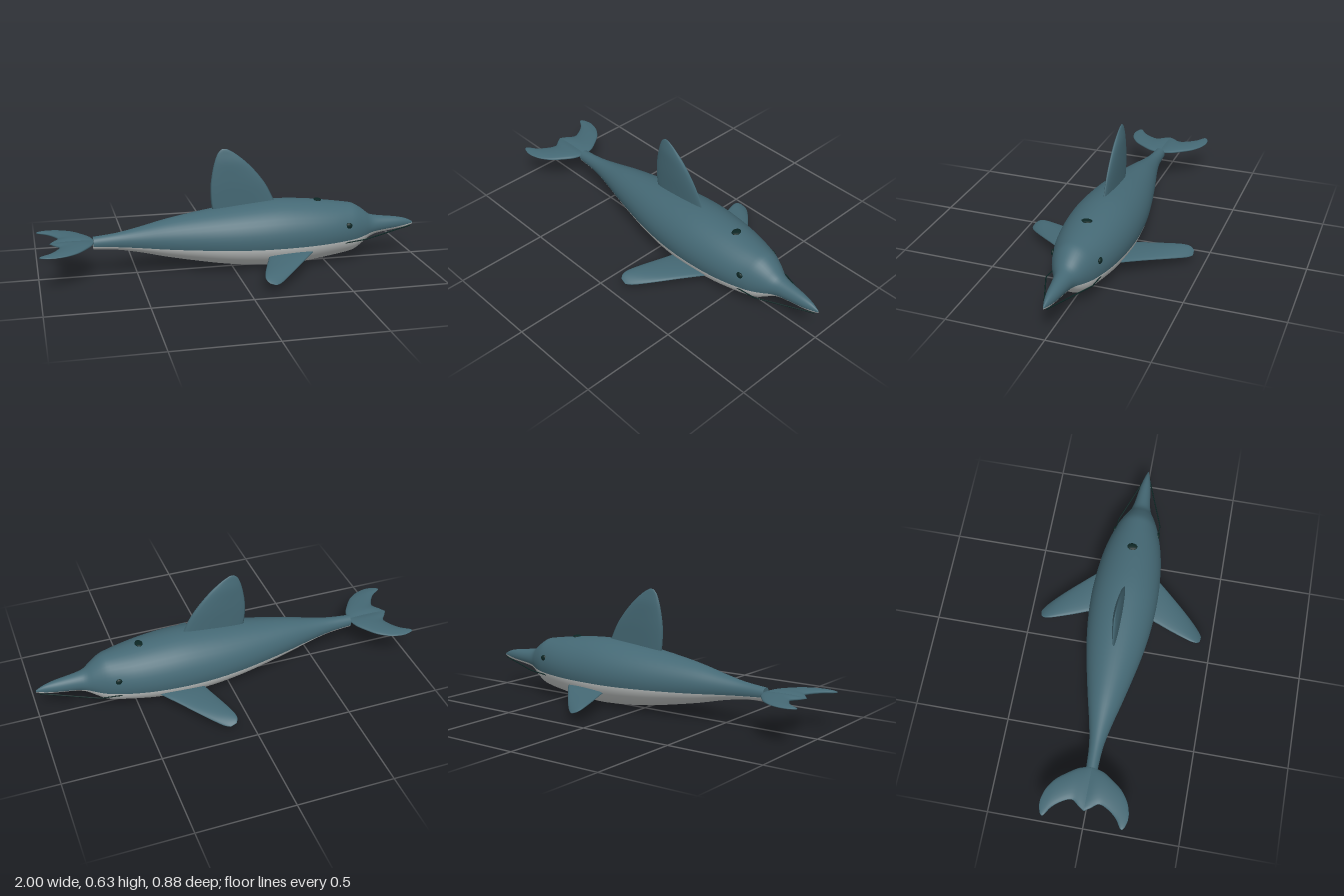
import * as THREE from 'three';

const skin = new THREE.MeshStandardMaterial({ color: 0x456975 });
skin.name = 'tealSkin';
const belly = new THREE.MeshStandardMaterial({ color: 0xc8cccb });
belly.name = 'paleBelly';
const dark = new THREE.MeshStandardMaterial({ color: 0x0c2624 });
dark.name = 'darkDetail';

// Smoothly resample rows of numbers (Catmull-Rom through every row)
function resample(rows, steps) {
  const out = [], last = rows.length - 1;
  for (let i = 0; i < last; i++) {
    const [a, b, c, d] = [rows[Math.max(i - 1, 0)], rows[i], rows[i + 1], rows[Math.min(i + 2, last)]];
    for (let s = 0; s < steps; s++) {
      const t = s / steps;
      out.push(b.map((_, k) => b[k] + 0.5 * t * (c[k] - a[k] +
        t * (2 * a[k] - 5 * b[k] + 4 * c[k] - d[k] + t * (3 * (b[k] - c[k]) + d[k] - a[k])))));
    }
  }
  out.push(rows[last]);
  return out;
}

// Skin closed rings of points; columns from `split` onward go to the second group
function loft(rings, split) {
  const n = rings[0].length, first = [], second = [];
  let volume = 0;
  const p = rings.flat();
  const tri = (a, b, c, list) => {
    list.push(a, b, c);
    volume += p[a].dot(p[b].clone().cross(p[c]));
  };
  for (let i = 0; i < rings.length - 1; i++) {
    for (let j = 0; j < n; j++) {
      const a = i * n + j, b = i * n + (j + 1) % n, list = j < split ? first : second;
      tri(a, b, b + n, list);
      tri(a, b + n, a + n, list);
    }
  }
  const index = first.concat(second);
  if (volume < 0) { // turn every face outward
    for (let i = 0; i < index.length; i += 3) [index[i], index[i + 1]] = [index[i + 1], index[i]];
  }
  const geo = new THREE.BufferGeometry().setFromPoints(p);
  geo.setIndex(index);
  geo.addGroup(0, first.length, 0);
  geo.addGroup(first.length, second.length, 1);
  geo.computeVertexNormals();
  return geo;
}

function centreRing(ring) {
  const c = new THREE.Vector3();
  ring.forEach(v => c.addScaledVector(v, 1 / ring.length));
  return ring.map(() => c.clone());
}

// Fin from rows of leading point, trailing point and half thickness
function fin(name, rows, normal) {
  const rings = resample(rows, 4).map(r => {
    const lead = new THREE.Vector3(r[0], r[1], r[2]), trail = new THREE.Vector3(r[3], r[4], r[5]);
    const mid = lead.clone().add(trail).multiplyScalar(0.5), half = lead.sub(trail).multiplyScalar(0.5);
    return Array.from({ length: 20 }, (_, k) => {
      const a = k / 20 * Math.PI * 2;
      return mid.clone().addScaledVector(half, Math.cos(a)).addScaledVector(normal, r[6] * Math.sin(a));
    });
  });
  rings.push(centreRing(rings[rings.length - 1]));
  const mesh = new THREE.Mesh(loft(rings, 20), skin);
  mesh.geometry.clearGroups();
  mesh.name = name;
  return mesh;
}

function makeBody() {
  // x, top, bottom, half width, height of the belly line
  const stations = [
    [-0.72, 0.21, 0.145, 0.03, 0.165], [-0.6, 0.223, 0.135, 0.037, 0.157],
    [-0.48, 0.247, 0.113, 0.06, 0.15], [-0.35, 0.277, 0.082, 0.092, 0.143],
    [-0.2, 0.303, 0.052, 0.126, 0.138], [-0.05, 0.324, 0.026, 0.155, 0.135],
    [0.1, 0.34, 0.009, 0.173, 0.132], [0.25, 0.348, 0.002, 0.178, 0.132],
    [0.4, 0.339, 0.011, 0.168, 0.132], [0.52, 0.324, 0.027, 0.148, 0.133],
    [0.61, 0.311, 0.039, 0.122, 0.134], [0.66, 0.3, 0.052, 0.103, 0.136],
    [0.71, 0.268, 0.085, 0.078, 0.141], [0.75, 0.237, 0.113, 0.056, 0.147],
    [0.8, 0.225, 0.13, 0.043, 0.152], [0.9, 0.212, 0.143, 0.029, 0.16],
    [0.96, 0.198, 0.152, 0.016, 0.167], [1.0, 0.178, 0.166, 0.003, 0.171],
  ];
  const n = 24;
  const rings = resample(stations, 3).map(([x, top, bottom, w, line]) => {
    const cy = (top + bottom) / 2, ry = (top - bottom) / 2;
    const phi = Math.asin(THREE.MathUtils.clamp((line - cy) / ry, -0.95, 0.95));
    return Array.from({ length: 2 * n }, (_, j) => {
      const a = j < n ? phi + j / n * (Math.PI - 2 * phi)
        : Math.PI - phi + (j - n) / n * (Math.PI + 2 * phi);
      return new THREE.Vector3(x, cy + ry * Math.sin(a), w * Math.cos(a));
    });
  });
  const tail = rings[0], nose = rings[rings.length - 1];
  rings.unshift(centreRing(tail), tail.map(v => v.clone()));
  rings.push(centreRing(nose));
  const mesh = new THREE.Mesh(loft(rings, n), [skin, belly]);
  mesh.name = 'body';
  return mesh;
}

function spot(name, position, scale) {
  const mesh = new THREE.Mesh(new THREE.SphereGeometry(1, 16, 10), dark);
  mesh.position.set(...position);
  mesh.scale.set(...scale);
  mesh.name = name;
  return mesh;
}

export function createModel() {
  const model = new THREE.Group();
  model.name = 'dolphin';
  const up = new THREE.Vector3(0, 1, 0), side = new THREE.Vector3(0, 0, 1);
  model.add(makeBody());

  // Dorsal fin: height, leading x, trailing x, half thickness
  model.add(fin('dorsalFin', [
    [0.3, 0.245, -0.1, 0.012], [0.35, 0.222, -0.11, 0.014], [0.43, 0.182, -0.113, 0.017],
    [0.5, 0.13, -0.105, 0.017], [0.56, 0.073, -0.092, 0.015], [0.605, 0.018, -0.076, 0.008],
    [0.625, -0.015, -0.06, 0.004], [0.632, -0.03, -0.05, 0.001],
  ].map(([y, a, b, t]) => [a, y, 0, b, y, 0, t]), side));

  for (const s of [1, -1]) {
    const label = s > 0 ? 'right' : 'left';
    // Flipper: leading x, y, z, trailing x, y, z, half thickness
    model.add(fin(label + 'Flipper', [
      [0.42, 0.099, 0.12, 0.17, 0.087, 0.12, 0.01], [0.37, 0.093, 0.185, 0.15, 0.084, 0.185, 0.012],
      [0.315, 0.083, 0.25, 0.122, 0.08, 0.26, 0.012], [0.255, 0.07, 0.32, 0.098, 0.077, 0.33, 0.012],
      [0.2, 0.057, 0.38, 0.082, 0.073, 0.385, 0.011], [0.155, 0.046, 0.423, 0.08, 0.066, 0.418, 0.008],
      [0.125, 0.044, 0.442, 0.092, 0.055, 0.438, 0.002],
    ].map(([a, b, c, d, e, f, t]) => [a, b, c * s, d, e, f * s, t]), up));

    // Fluke: z, leading x, trailing x, half thickness
    model.add(fin(label + 'Fluke', [
      [0, -0.71, -0.94, 0.008], [0.03, -0.718, -0.92, 0.014], [0.07, -0.732, -0.893, 0.015],
      [0.12, -0.765, -0.913, 0.014], [0.165, -0.8, -0.95, 0.012], [0.195, -0.838, -0.995, 0.009],
      [0.213, -0.872, -0.988, 0.006], [0.225, -0.915, -0.95, 0.002],
    ].map(([z, a, b, t]) => [a, 0.187, z * s, b, 0.187, z * s, t]), up));

    model.add(spot(label + 'Eye', [0.6, 0.215, 0.119 * s], [0.018, 0.016, 0.009]));

    // Thin mouth line
    const path = new THREE.CurvePath();
    const points = [[0.57, 0.119, 0.117], [0.7, 0.134, 0.117], [0.985, 0.158, 0.006]]
      .map(([x, y, z]) => new THREE.Vector3(x, y, z * s));
    for (let i = 0; i < 2; i++) path.add(new THREE.LineCurve3(points[i], points[i + 1]));
    const mouth = new THREE.Mesh(new THREE.TubeGeometry(path, 24, 0.003, 6), dark);
    mouth.name = label + 'MouthLine';
    model.add(mouth);
  }

  model.add(spot('blowhole', [0.46, 0.334, 0], [0.02, 0.007, 0.027]));
  return model;
}
